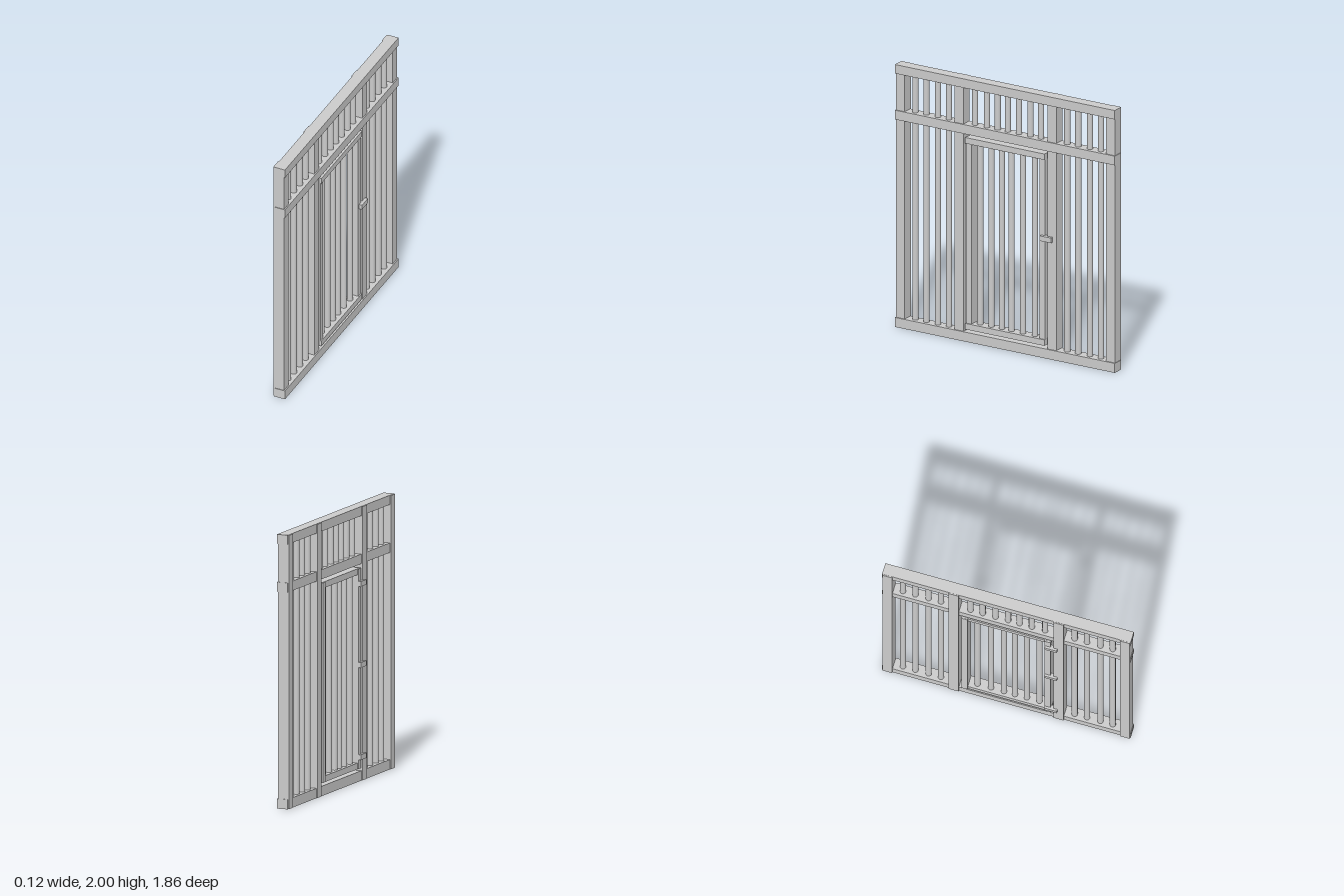
import * as THREE from 'three';

export function createModel() {
  const root = new THREE.Group();
  root.name = 'barredGate';
  const mat = new THREE.MeshStandardMaterial({ color: 0xcccccc });

  // box given by its extents on each axis
  function box(parent, name, [x0, x1], [y0, y1], [z0, z1]) {
    const m = new THREE.Mesh(new THREE.BoxGeometry(x1 - x0, y1 - y0, z1 - z0), mat);
    m.position.set((x0 + x1) / 2, (y0 + y1) / 2, (z0 + z1) / 2);
    m.name = name;
    parent.add(m);
  }
  // row of round upright bars
  function bars(parent, name, zs, y0, y1) {
    const geo = new THREE.CylinderGeometry(0.022, 0.022, y1 - y0, 20);
    for (const z of zs) {
      const m = new THREE.Mesh(geo, mat);
      m.position.set(0, (y0 + y1) / 2, z);
      m.name = name;
      parent.add(m);
    }
  }
  const group = (name) => {
    const g = new THREE.Group();
    g.name = name;
    root.add(g);
    return g;
  };

  // rails sit slightly forward of the posts
  const RAIL_X = [-0.04, 0.046], POST_X = [-0.048, 0.037];

  // outer frame
  const frame = group('frame');
  box(frame, 'bottomRail', RAIL_X, [0, 0.072], [-0.93, 0.93]);
  box(frame, 'middleRail', RAIL_X, [1.582, 1.652], [-0.93, 0.93]);
  box(frame, 'topRail', RAIL_X, [1.932, 2], [-0.93, 0.93]);
  for (const s of [1, -1]) {
    for (const [name, a, b] of [['outerPost', 0.852, 0.926], ['innerPost', 0.355, 0.43]]) {
      box(frame, name, POST_X, [0.002, 1.998], s > 0 ? [a, b] : [-b, -a]);
    }
  }

  // fixed bars, below and above the middle rail
  const fixedBars = group('fixedBars');
  for (const s of [1, -1]) {
    const zs = [0.785, 0.692, 0.593, 0.5].map((z) => z * s);
    bars(fixedBars, 'sideBar', zs, 0.04, 1.62);
    bars(fixedBars, 'upperSideBar', zs, 1.62, 1.96);
  }
  bars(fixedBars, 'upperMiddleBar', [0.279, 0.179, 0.088, 0.003, -0.092, -0.188, -0.279], 1.62, 1.96);

  // door leaf
  const door = group('door');
  box(door, 'doorBottomRail', RAIL_X, [0.094, 0.139], [-0.335, 0.335]);
  box(door, 'doorTopRail', RAIL_X, [1.511, 1.556], [-0.335, 0.335]);
  for (const s of [1, -1]) {
    box(door, 'doorStile', POST_X, [0.096, 1.554], s > 0 ? [0.288, 0.333] : [-0.333, -0.288]);
  }
  bars(door, 'doorBar', [0.236, 0.142, 0.053, -0.029, -0.126, -0.227], 0.115, 1.53);

  // hinges behind, latch in front
  const hardware = group('hardware');
  for (const y of [0.181, 0.854, 1.445]) {
    box(hardware, 'hinge', [-0.065, -0.027], [y - 0.019, y + 0.019], [0.288, 0.385]);
  }
  box(hardware, 'latch', [0.022, 0.06], [0.893, 0.931], [-0.4, -0.303]);

  return root;
}
